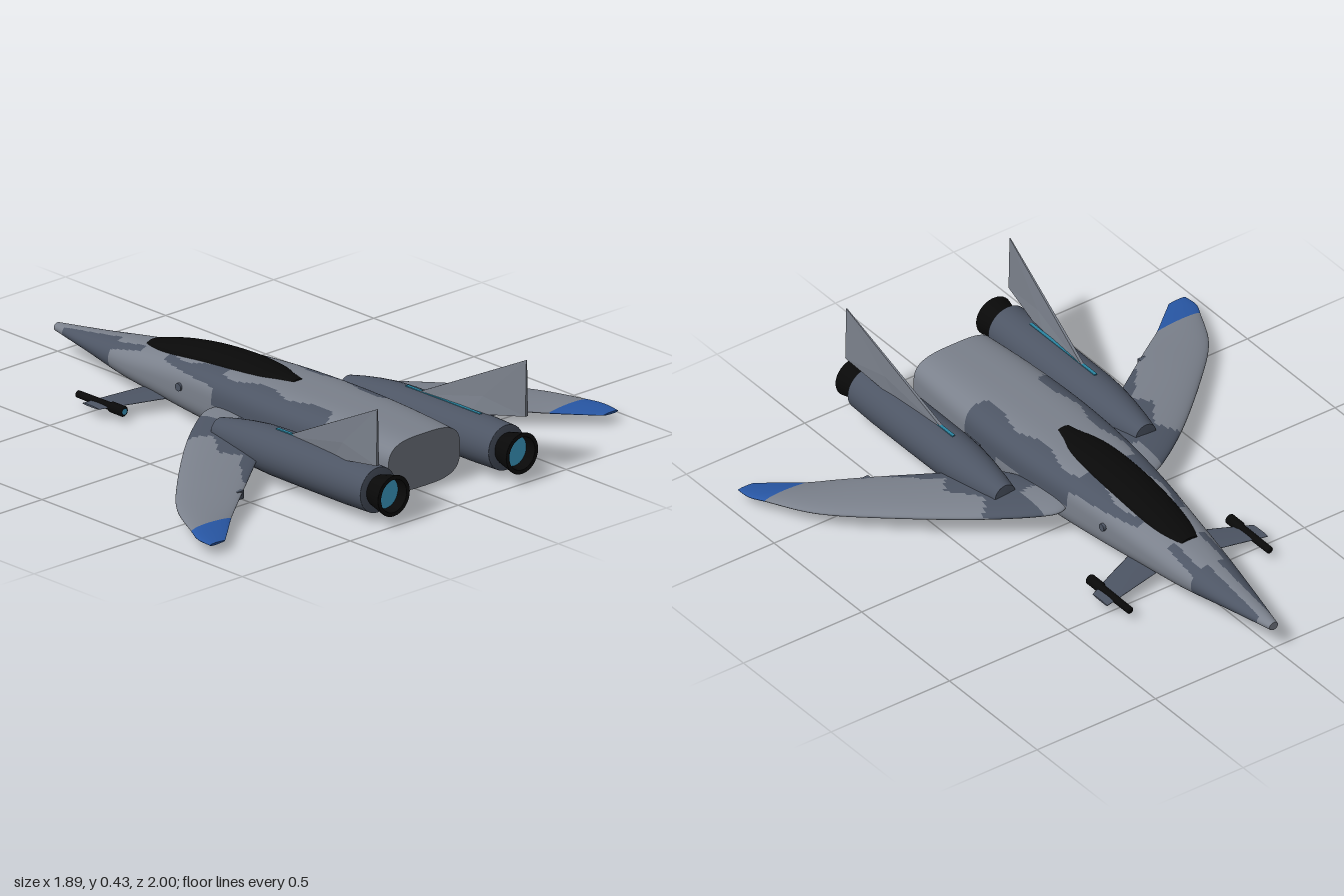
import * as THREE from 'three';

const paint = (name, color, side = THREE.FrontSide) => {
  const m = new THREE.MeshStandardMaterial({ color, side });
  m.name = name;
  return m;
};

// Smooth interpolation down the columns of a table of stations
function sample(table, t) {
  const i = Math.min(Math.floor(t), table.length - 2), f = t - i;
  const row = k => table[Math.max(0, Math.min(table.length - 1, k))];
  return row(0).map((_, c) => {
    const [a, b, d, e] = [row(i - 1)[c], row(i)[c], row(i + 1)[c], row(i + 2)[c]];
    return b + 0.5 * f * (d - a + f * (2 * a - 5 * b + 4 * d - e + f * (3 * (b - d) + e - a)));
  });
}

// Skin over closed rings with flat end caps; rule(centre, station) picks the material index
function loft(rings, materials, rule = () => 0, flip = false) {
  const n = rings[0].length, pos = [], faces = materials.map(() => []);
  const add = p => pos.push(p.x, p.y, p.z) / 3 - 1;
  const tri = (m, a, b, c) => faces[m].push(a, ...(flip ? [c, b] : [b, c]));
  rings.forEach(r => r.forEach(add));
  for (let j = 0; j < rings.length - 1; j++) {
    for (let i = 0; i < n; i++) {
      const k = (i + 1) % n, a = j * n + i, b = j * n + k, c = b + n, d = a + n;
      const mid = rings[j][i].clone().add(rings[j + 1][k]).multiplyScalar(0.5);
      const m = rule(mid, j);
      tri(m, a, b, c);
      tri(m, a, c, d);
    }
  }
  [0, rings.length - 1].forEach((j, end) => {
    const ring = rings[j];
    const centre = ring.reduce((s, p) => s.add(p), new THREE.Vector3()).divideScalar(n);
    const m = rule(centre, Math.min(j, rings.length - 2)), c = add(centre), ids = ring.map(add);
    ids.forEach((id, i) => {
      const next = ids[(i + 1) % n];
      end ? tri(m, c, id, next) : tri(m, c, next, id);
    });
  });
  const g = new THREE.BufferGeometry();
  g.setAttribute('position', new THREE.Float32BufferAttribute(pos, 3));
  g.setIndex(faces.flat());
  let start = 0;
  faces.forEach((f, m) => { g.addGroup(start, f.length, m); start += f.length; });
  g.computeVertexNormals();
  return new THREE.Mesh(g, materials);
}

// Rounded body from stations [z, half width, bottom, top, squareness]
function bodyRings(table, steps, n) {
  return Array.from({ length: (table.length - 1) * steps + 1 }, (_, j) => {
    const [z, w, y0, y1, e] = sample(table, j / steps);
    return Array.from({ length: n }, (_, i) => {
      const a = i / n * Math.PI * 2, c = Math.cos(a), s = Math.sin(a);
      return new THREE.Vector3(
        w * Math.sign(c) * Math.abs(c) ** (2 / e),
        (y0 + y1) / 2 + (y1 - y0) / 2 * Math.sign(s) * Math.abs(s) ** (2 / e), z);
    });
  });
}

// Lifting surface from stations [lead x, lead z, trail x, trail z, height, thickness]
function wingRings(table, steps, n, side) {
  return Array.from({ length: (table.length - 1) * steps + 1 }, (_, j) => {
    const [lx, lz, tx, tz, y, th] = sample(table, j / steps);
    return Array.from({ length: n }, (_, i) => {
      const a = i / n * Math.PI * 2, u = (1 + Math.sin(a)) / 2;
      return new THREE.Vector3(side * (lx + (tx - lx) * u),
        y + th / 2 * Math.cos(a) * (1 - 0.4 * u), lz + (tz - lz) * u);
    });
  });
}

// Body of revolution along z from [radius, z] points
const turned = (points, mat) => new THREE.Mesh(
  new THREE.LatheGeometry(points.map(p => new THREE.Vector2(...p)), 32).rotateX(Math.PI / 2), mat);

export function createModel() {
  const light = paint('light grey', 0x7b818c);
  const dark = paint('slate grey', 0x4d5564);
  const black = paint('black', 0x090909);
  const blue = paint('tip blue', 0x2857a5);
  const glow = paint('engine glow', 0x45b0dc, THREE.DoubleSide);
  const teal = paint('strip teal', 0x2b86a3);

  const model = new THREE.Group();
  const put = (parent, name, mesh) => { mesh.name = name; parent.add(mesh); return mesh; };
  const box = (parent, name, mat, size, at) =>
    put(parent, name, new THREE.Mesh(new THREE.BoxGeometry(...size), mat)).position.set(...at);

  // Fuselage with camouflage patches
  const hull = [
    [-1, 0.018, 0.1, 0.13, 2], [-0.8, 0.062, 0.078, 0.157, 2], [-0.6, 0.1, 0.052, 0.188, 2.2],
    [-0.4, 0.127, 0.042, 0.215, 2.6], [-0.2, 0.153, 0.035, 0.238, 3], [0, 0.175, 0.03, 0.25, 3.2],
    [0.2, 0.189, 0.028, 0.254, 3.2], [0.4, 0.192, 0.028, 0.254, 3.2], [0.62, 0.182, 0.035, 0.25, 3.2],
    [0.83, 0.166, 0.048, 0.24, 3.2]];
  const hullCamo = ({ x, y, z }) => {
    const ax = Math.abs(x), wave = 0.015 * Math.sin(z * 23 + ax * 9);
    if (z < -0.94) return 0;
    if (z < -0.65) return ax < 0.02 && y > 0.12 ? 0 : 1;
    if (z < -0.5) return y > 0.15 && ax > 0.05 && ax < 0.08 ? 1 : 0;
    if (z < -0.05) return z > -0.36 && y > 0.2 && ax > 0.085 + wave ? 1 : 0;
    return z < 0.5 + wave && ax > 0.115 + wave && y > 0.13 + wave ? 1 : 0;
  };
  put(model, 'fuselage', loft(bodyRings(hull, 20, 96), [light, dark], hullCamo));

  // Canopy
  const glass = [
    [-0.52, 0.04, 0.165, 0.207, 2], [-0.44, 0.062, 0.16, 0.23, 2], [-0.34, 0.075, 0.16, 0.252, 2],
    [-0.2, 0.08, 0.178, 0.271, 2], [-0.05, 0.079, 0.192, 0.278, 2], [0.07, 0.068, 0.206, 0.273, 2],
    [0.15, 0.042, 0.22, 0.264, 2], [0.2, 0.032, 0.225, 0.259, 2]];
  put(model, 'canopy', loft(bodyRings(glass, 5, 32), [black]));

  // Belly doors
  box(model, 'mainGearDoor', black, [0.12, 0.008, 0.2], [0, 0.029, 0.1]);
  const noseDoor = new THREE.Mesh(new THREE.BoxGeometry(0.05, 0.009, 0.36), black);
  put(model, 'noseGearDoor', noseDoor).position.set(0, 0.044, -0.44);
  noseDoor.rotation.x = 0.055;

  const wing = [
    [0.16, -0.04, 0.16, 0.16, 0.13, 0.04], [0.23, -0.035, 0.24, 0.3, 0.122, 0.055],
    [0.43, 0.105, 0.38, 0.4, 0.11, 0.055], [0.67, 0.32, 0.55, 0.525, 0.095, 0.052],
    [0.83, 0.49, 0.66, 0.605, 0.083, 0.042], [0.92, 0.66, 0.735, 0.66, 0.073, 0.029],
    [0.945, 0.72, 0.805, 0.72, 0.067, 0.02], [0.945, 0.78, 0.875, 0.78, 0.062, 0.01]];
  const wingCamo = ({ x, z }, j) => {
    const ax = Math.abs(x);
    if (j >= 80) return 2;
    if (ax < 0.25 && z < 0.11) return 0;
    const edge = 0.4 + 0.035 * Math.sin(z * 28) + (z - ax * 0.75 > 0.05 ? 0.09 : 0);
    return ax < edge && z > ax - 0.32 ? 1 : 0;
  };
  const canard = [[0.1, -0.465, 0.1, -0.32, 0.072, 0.016], [0.23, -0.49, 0.23, -0.375, 0.067, 0.013],
    [0.34, -0.51, 0.34, -0.425, 0.062, 0.008]];
  const fin = [[0.295, 0.45, 0.2], [0.345, 0.97, 0.455], [0.345, 0.97, 0.25], [0.312, 0.72, 0.2]];

  for (const s of [1, -1]) {
    const half = new THREE.Group();
    half.name = s > 0 ? 'leftSide' : 'rightSide';
    model.add(half);

    put(half, 'wing', loft(wingRings(wing, 16, 64, s), [light, dark, blue], wingCamo, s < 0));
    put(half, 'canard', loft(wingRings(canard, 3, 20, s), [dark], undefined, s < 0));

    // Pod under the canard
    const pod = put(half, 'canardPod', turned([[0, -0.58], [0.013, -0.579], [0.014, -0.42],
      [0.019, -0.41], [0.019, -0.352], [0, -0.35]], black));
    pod.position.set(s * 0.295, 0.064, 0);
    const podGlow = put(half, 'podGlow', new THREE.Mesh(new THREE.CircleGeometry(0.012, 16), glow));
    podGlow.position.set(s * 0.295, 0.064, -0.347);

    // Engine nacelle, nozzle and glow
    const engine = new THREE.Group();
    engine.name = 'engine';
    engine.position.set(s * 0.297, 0.135, 0);
    half.add(engine);
    put(engine, 'nacelle', turned([[0, 0.129], [0.042, 0.13], [0.043, 0.131], [0.056, 0.19],
      [0.07, 0.27], [0.08, 0.35], [0.084, 0.43], [0.085, 0.6], [0.085, 0.8], [0.082, 0.918],
      [0.081, 0.92], [0.05, 0.921]], dark));
    put(engine, 'nozzle', turned([[0.052, 0.915], [0.058, 0.93], [0.074, 0.998], [0.073, 1],
      [0.06, 1], [0.059, 0.998], [0.054, 0.95]], black));
    const disc = put(engine, 'exhaustGlow', new THREE.Mesh(new THREE.CircleGeometry(0.055, 32), glow));
    disc.position.z = 0.96;
    box(engine, 'lightStrip', teal, [0.012, 0.008, 0.37], [s * 0.003, 0.083, 0.605]);

    // Pylons between engine and fuselage
    for (const [y, z, len] of [[0.125, 0.46, 0.09], [0.09, 0.4, 0.12]])
      box(half, 'pylon', dark, [0.08, 0.03, len], [s * 0.205, y, z]);

    // Tail fin, toed and canted outward
    const ring = d => fin.map(([x, z, y]) => new THREE.Vector3(s * (x + d * (y > 0.4 ? 0.3 : 1)), y, z));
    const plate = loft([ring(-0.006), ring(0.006)], [light], undefined, s < 0);
    plate.geometry = plate.geometry.toNonIndexed();
    plate.geometry.computeVertexNormals();
    put(half, 'tailFin', plate);

    // Small fittings
    const port = new THREE.Mesh(new THREE.CylinderGeometry(0.014, 0.014, 0.02, 16), dark);
    put(half, 'sidePort', port).position.set(s * 0.148, 0.15, -0.23);
    port.rotation.z = Math.PI / 2;
    box(half, 'bellyFitting', black, [0.03, 0.02, 0.03], [s * 0.13, 0.038, 0.54]);
    box(half, 'wingFitting', dark, [0.03, 0.03, 0.03], [s * 0.585, 0.085, 0.53]);
  }
  return model;
}
